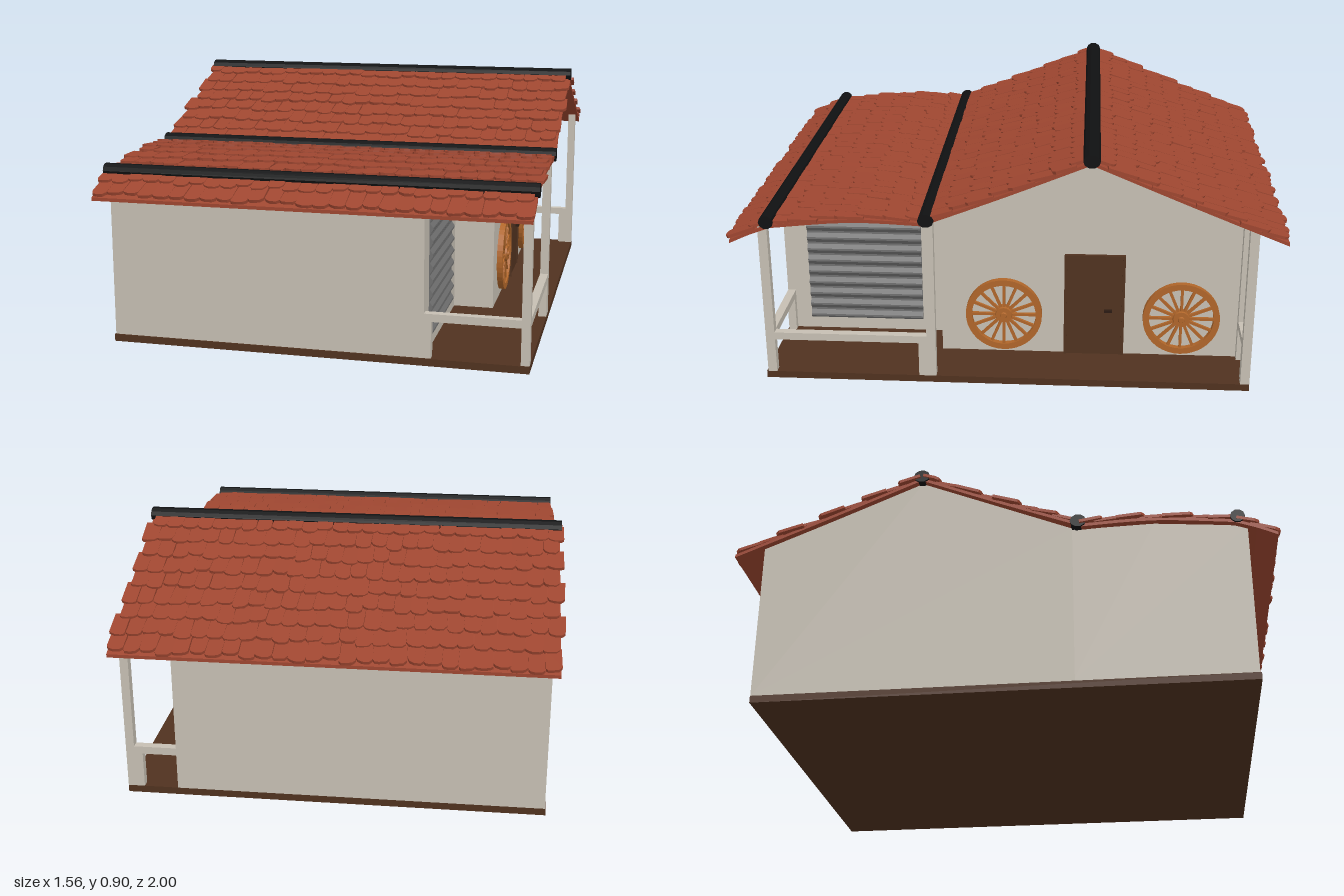
import * as THREE from 'three';
import { mergeGeometries } from 'three/addons/utils/BufferGeometryUtils.js';

const mat = (name, color) => Object.assign(new THREE.MeshStandardMaterial({ color }), { name });

export function createModel() {
  const plaster = mat('plaster', 0xc6bfb3);
  const tileRed = mat('roofTile', 0x9e4630);
  const ridgeBlack = mat('ridgeBlack', 0x101112);
  const darkWood = mat('darkWood', 0x50321f);
  const wheelWood = mat('wheelWood', 0xb0662a);
  const shutterGrey = mat('shutterGrey', 0x707070);
  const iron = mat('iron', 0x2a1a12);

  const house = new THREE.Group();
  house.name = 'house';
  const add = (name, geometry, material, parent = house) => {
    const m = new THREE.Mesh(geometry, material);
    m.name = name;
    parent.add(m);
    return m;
  };
  // Box given by its limits on each axis
  const box = (name, x0, x1, y0, y1, z0, z1, material, parent) => {
    const g = new THREE.BoxGeometry(x1 - x0, y1 - y0, z1 - z0);
    g.translate((x0 + x1) / 2, (y0 + y1) / 2, (z0 + z1) / 2);
    return add(name, g, material, parent);
  };
  // Outline of [z, y] points extruded along x
  const extrudeX = (pts, x0, x1) => {
    const shape = new THREE.Shape(pts.map(([z, y]) => new THREE.Vector2(z, y)));
    return new THREE.ExtrudeGeometry(shape, { depth: x1 - x0, bevelEnabled: false })
      .rotateY(-Math.PI / 2).translate(x1, 0, 0);
  };
  let seed = 7;
  const jitter = (a) => {
    seed = (seed * 16807) % 2147483647;
    return (seed / 2147483647 - 0.5) * 2 * a;
  };

  // Floor and walls
  box('floorSlab', -0.745, 0.755, 0, 0.026, -0.88, 0.885, darkWood);
  add('gabledWalls', extrudeX([[-0.88, 0.026], [0.257, 0.026], [0.257, 0.628], [-0.295, 0.858], [-0.88, 0.618]],
    -0.742, 0.543), plaster);
  add('frontWingWalls', extrudeX([[0.25, 0.026], [0.88, 0.026], [0.88, 0.598], [0.55, 0.628], [0.25, 0.622]],
    -0.742, 0.392), plaster);
  box('backWallEnd', 0.54, 0.572, 0.026, 0.62, -0.88, -0.85, plaster);

  // Porch posts and rails
  const px0 = 0.725, px1 = 0.755;
  box('frontCornerPost', px0, px1, 0.026, 0.605, 0.847, 0.88, plaster);
  box('middlePost', px0, px1, 0.026, 0.628, 0.257, 0.29, plaster);
  box('backCornerPost', px0, px1, 0.026, 0.625, -0.88, -0.847, plaster);
  box('frontRail', 0.39, px0, 0.157, 0.185, 0.85, 0.88, plaster);
  box('sideRail', px0, px1, 0.157, 0.185, 0.29, 0.847, plaster);
  box('backRail', 0.572, px0, 0.157, 0.185, -0.88, -0.85, plaster);
  box('frontShortPost', 0.392, 0.417, 0.026, 0.157, 0.85, 0.88, plaster);
  box('sideShortPost', px0, px1, 0.026, 0.157, 0.29, 0.32, plaster);
  box('backShortPost', 0.695, px0, 0.026, 0.157, -0.88, -0.85, plaster);

  // Corrugated roller shutter on the front wing
  const wave = new THREE.Shape();
  wave.moveTo(0.385, 0.075);
  for (let i = 0; i <= 60; i++) {
    wave.lineTo(0.4 + 0.006 * Math.sin((i / 60) * Math.PI * 20), 0.075 + 0.465 * (i / 60));
  }
  wave.lineTo(0.385, 0.54);
  add('shutter', new THREE.ExtrudeGeometry(wave, { depth: 0.44, bevelEnabled: false }).translate(0, 0, 0.35), shutterGrey);

  // Door
  const door = new THREE.Group();
  door.name = 'door';
  house.add(door);
  box('doorPanel', 0.54, 0.552, 0.026, 0.425, -0.42, -0.21, darkWood, door);
  box('doorTopFrame', 0.54, 0.557, 0.42, 0.432, -0.428, -0.203, darkWood, door);
  for (const z of [-0.428, -0.213]) box('doorSideFrame', 0.54, 0.557, 0.026, 0.42, z, z + 0.01, darkWood, door);
  box('doorHandle', 0.55, 0.566, 0.206, 0.213, -0.382, -0.352, iron, door);

  // Wagon wheels hung on the wall
  const rimShape = new THREE.Shape().absarc(0, 0, 0.143, 0, Math.PI * 2);
  rimShape.holes.push(new THREE.Path().absarc(0, 0, 0.12, 0, Math.PI * 2, true));
  const rimGeo = new THREE.ExtrudeGeometry(rimShape, { depth: 0.022, bevelEnabled: false, curveSegments: 20 });
  const hubGeo = new THREE.CylinderGeometry(0.03, 0.036, 0.024, 16).rotateX(Math.PI / 2).translate(0, 0, 0.012);
  const capGeo = new THREE.CylinderGeometry(0.01, 0.014, 0.008, 12).rotateX(Math.PI / 2).translate(0, 0, 0.026);
  const spokes = [];
  for (let i = 0; i < 16; i++) {
    spokes.push(new THREE.BoxGeometry(0.1, 0.01, 0.011).translate(0.075, 0, 0.011).rotateZ((i / 16) * Math.PI * 2));
  }
  const spokeGeo = mergeGeometries(spokes);
  for (const z of [0.022, -0.64]) {
    const wheel = new THREE.Group();
    wheel.name = 'wagonWheel';
    wheel.position.set(0.543, 0.185, z);
    wheel.rotation.y = Math.PI / 2;
    house.add(wheel);
    add('wheelRim', rimGeo, wheelWood, wheel);
    add('wheelSpokes', spokeGeo, wheelWood, wheel);
    add('wheelHub', hubGeo, wheelWood, wheel);
    add('wheelCap', capGeo, wheelWood, wheel);
  }

  // One round-ended tile: tail at y = 0, head towards +y
  const tileGeo = (w, len) => {
    const s = new THREE.Shape();
    const h = w / 2, c = 0.014 + jitter(0.005), skew = jitter(0.005);
    s.moveTo(-h, len);
    s.lineTo(-h, c + skew);
    s.lineTo(-h * 0.75, 0.004 + skew);
    s.lineTo(-h * 0.2, 0);
    s.lineTo(h * 0.6, 0.002 - skew * 0.5);
    s.lineTo(h, c - skew);
    s.lineTo(h, len);
    return new THREE.ExtrudeGeometry(s, { depth: 0.011, bevelEnabled: false });
  };

  // A roof slope: boarding plus overlapping rows of tiles, [z, y] points from ridge to eave
  const slope = (name, pts, rows) => {
    const curve = new THREE.SplineCurve(pts.map(([z, y]) => new THREE.Vector2(z, y)));
    const line = curve.getSpacedPoints(8).map((p) => [p.x, p.y]);
    const under = line.map(([z, y]) => [z, y - 0.012]).reverse();
    const group = new THREE.Group();
    group.name = name;
    house.add(group);
    add('roofBoards', extrudeX([...line, ...under], -0.765, 0.765), tileRed, group);
    const pitch = curve.getLength() / rows, cols = 27, w = 1.535 / cols;
    const tiles = [];
    for (let r = 0; r < rows; r++) {
      const t = (r + 1) / rows;
      const p = curve.getPointAt(t), d = curve.getTangentAt(t);
      const up = new THREE.Vector3(0, -d.y, -d.x);
      const n = new THREE.Vector3(0, Math.abs(d.x), -d.y * Math.sign(d.x));
      const side = new THREE.Vector3().crossVectors(up, n);
      const shift = (r % 2 ? 0.25 : -0.25) * w * 0.5 + jitter(0.006);
      for (let c = 0; c < cols; c++) {
        const drop = jitter(0.011);
        const g = tileGeo(w * (1.0 + jitter(0.06)), pitch * (r ? 1.3 : 0.95) + drop);
        g.rotateZ(jitter(0.05)).rotateX(-0.1 + jitter(0.025));
        const m = new THREE.Matrix4().makeBasis(side, up, n);
        m.setPosition(-0.7675 + (c + 0.5) * w + shift, p.y + n.y * 0.008 + d.y * drop, p.x + n.z * 0.008 + d.x * drop);
        tiles.push(g.applyMatrix4(m));
      }
    }
    add('roofTiles', mergeGeometries(tiles), tileRed, group);
  };
  slope('backRoof', [[-0.295, 0.87], [-0.65, 0.722], [-0.982, 0.588]], 9);
  slope('mainFrontRoof', [[-0.295, 0.87], [0, 0.748], [0.28, 0.638]], 8);
  slope('frontWingRoof', [[0.28, 0.632], [0.55, 0.64], [0.845, 0.612]], 7);
  slope('frontEaveRoof', [[0.835, 0.613], [0.91, 0.585], [0.982, 0.552]], 2);

  // Rounded ridge caps
  for (const [z, y, w] of [[-0.295, 0.874, 0.03], [0.28, 0.643, 0.029], [0.845, 0.624, 0.026]]) {
    const cap = [];
    for (let i = 0; i < 10; i++) {
      const a = (i / 10) * Math.PI * 2;
      cap.push([z + w * Math.cos(a), y + 0.025 * Math.sin(a)]);
    }
    add('ridgeCap', extrudeX(cap, -0.772, 0.772), ridgeBlack);
  }
  return house;
}
